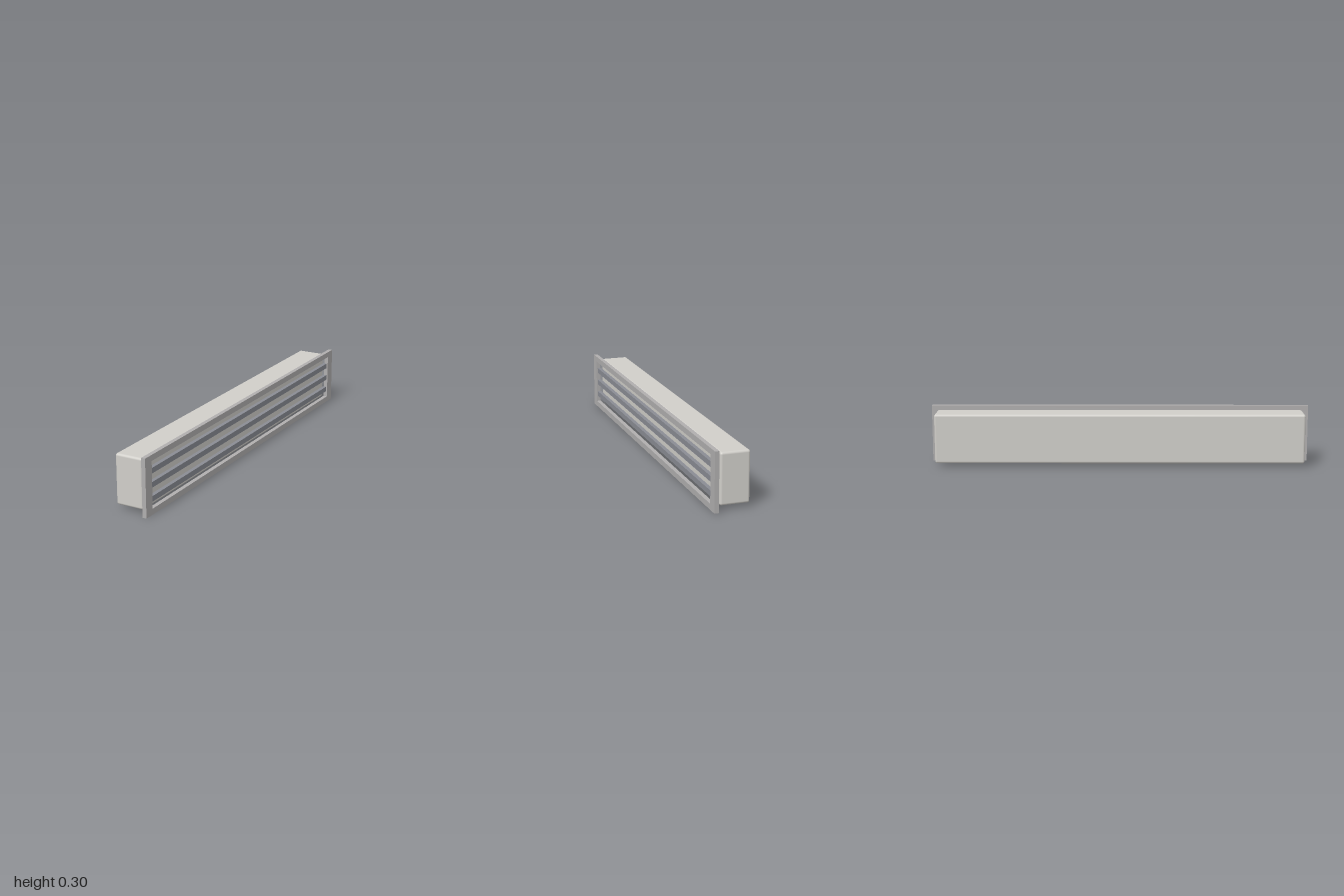
import * as THREE from 'three';
import { RoundedBoxGeometry } from 'three/addons/geometries/RoundedBoxGeometry.js';

const material = (color) => new THREE.MeshStandardMaterial({ color });

export function createModel() {
  const group = new THREE.Group();
  const add = (name, geometry, mat, x, y, z = 0) => {
    const mesh = new THREE.Mesh(geometry, mat);
    mesh.name = name;
    mesh.position.set(x, y, z);
    group.add(mesh);
    return mesh;
  };

  // Long housing with softly rounded edges
  add('housing', new RoundedBoxGeometry(0.15, 0.26, 1.934, 4, 0.012), material(0xd0cec9), -0.02, 0.15);

  // Flat rectangular frame with one wide opening
  const rect = (Type, w, h) => new Type([
    new THREE.Vector2(-w / 2, -h / 2), new THREE.Vector2(w / 2, -h / 2),
    new THREE.Vector2(w / 2, h / 2), new THREE.Vector2(-w / 2, h / 2),
  ]);
  const outline = rect(THREE.Shape, 2, 0.3);
  outline.holes.push(rect(THREE.Path, 1.89, 0.24));
  const frame = new THREE.ExtrudeGeometry(outline, { depth: 0.022, bevelEnabled: false });
  frame.rotateY(Math.PI / 2);
  add('grilleFrame', frame, material(0xb0aeae), 0.073, 0.15);

  // Three horizontal slats spanning the opening, set slightly back
  const slat = new THREE.BoxGeometry(0.02, 0.028, 1.89);
  const slatMaterial = material(0x8a8c94);
  for (let i = 0; i < 3; i++) {
    add(`slat${i + 1}`, slat, slatMaterial, 0.078, 0.074 + i * 0.071);
  }

  return group;
}
